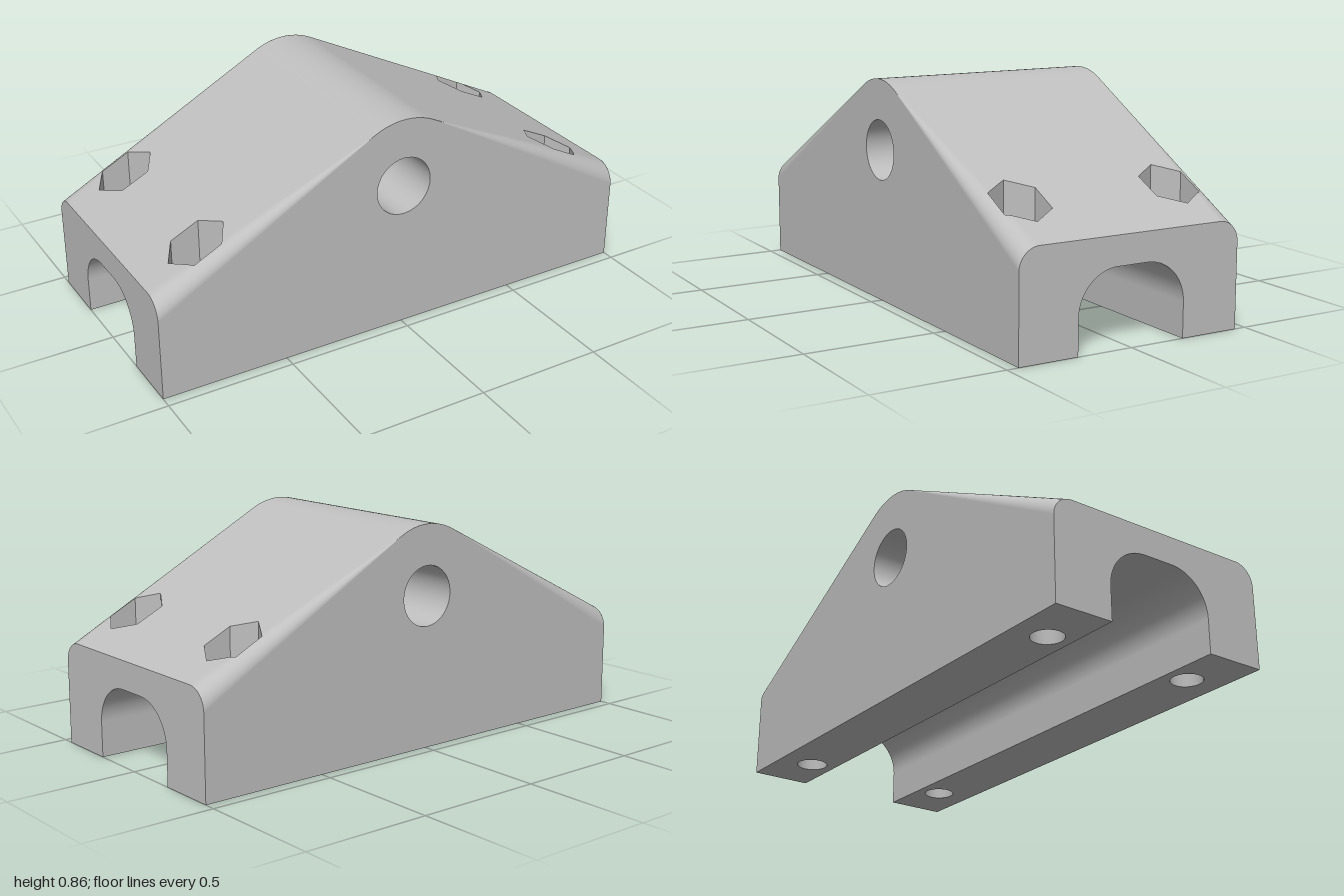
import * as THREE from 'three';

const W = 0.455;                        // half depth
const AXLE_Y = 0.585, CREST_R = 0.27;   // rounded crest is concentric with the axle hole
const SLOPE = Math.atan(0.483);
const TX = CREST_R * Math.sin(SLOPE), TY = AXLE_Y + CREST_R * Math.cos(SLOPE); // crest meets slope
const END_Y = TY - (1 - TX) * Math.tan(SLOPE);
const R = 0.08;                         // edge rounding at the ends, fading to nothing at the crest
const BX = 0.78, BZ = 0.315, BOLT_R = 0.06, HEX_R = 0.11, FLOOR_Y = 0.3;

const radius = (x) => R * (x - TX) / (1 - TX);
const flatEdge = (x) => W - radius(x);
const endZ = (t) => W - R + R * Math.sin(t);

// Angle round the tapered edge at a point of the top surface
function edgeAngle(x, z, fallback) {
  const r = radius(x);
  if (r < 1e-6) return fallback;
  return Math.asin(THREE.MathUtils.clamp((z - flatEdge(x)) / r, 0, 1));
}
const topY = (x, z) => TY - (x - TX) * Math.tan(SLOPE) - radius(x) * (1 - Math.cos(edgeAngle(x, z, 0)));

function topNormal(t) {
  const ruling = new THREE.Vector3(1 - TX, END_Y - R * (1 - Math.cos(t)) - TY, endZ(t) - W);
  const around = new THREE.Vector3(0, -Math.sin(t), Math.cos(t));
  return around.cross(ruling).normalize();
}

function makeGeometry(pos, normal) {
  const g = new THREE.BufferGeometry();
  g.setAttribute('position', new THREE.Float32BufferAttribute(pos, 3));
  if (normal) g.setAttribute('normal', new THREE.Float32BufferAttribute(normal, 3));
  return g;
}

// Polygon in plan [x, z] laid onto the top surface
function topPatch(points, fallback) {
  const pos = [], nor = [];
  const flat = points.map(([x, z]) => new THREE.Vector2(x, z));
  for (const tri of THREE.ShapeUtils.triangulateShape(flat, [])) {
    const [a, b, c] = tri.map((i) => flat[i]);
    const area = (b.x - a.x) * (c.y - a.y) - (b.y - a.y) * (c.x - a.x);
    for (const p of area < 0 ? [a, b, c] : [a, c, b]) {
      pos.push(p.x, topY(p.x, p.y), p.y);
      nor.push(...topNormal(edgeAngle(p.x, p.y, fallback)));
    }
  }
  return makeGeometry(pos, nor);
}

// Surface between two matching rows of points
function ruled(a, b, flat = false) {
  const n = a.length, index = [];
  for (let i = 0; i < n - 1; i++) index.push(i, i + 1, n + i + 1, i, n + i + 1, n + i);
  let g = makeGeometry([...a, ...b].flat());
  g.setIndex(index);
  if (flat) g = g.toNonIndexed();
  g.computeVertexNormals();
  return g;
}

// Mirrored copy with the corner order kept facing outward
function mirrored(geometry, sx, sz) {
  const g = geometry.index ? geometry.toNonIndexed() : geometry.clone();
  g.scale(sx, 1, sz);
  if (sx * sz < 0) {
    for (const attr of Object.values(g.attributes)) {
      const s = attr.itemSize, arr = attr.array;
      for (let i = 0; i < arr.length; i += 3 * s)
        for (let k = 0; k < s; k++)
          [arr[i + s + k], arr[i + 2 * s + k]] = [arr[i + 2 * s + k], arr[i + s + k]];
    }
  }
  return g;
}

const circleHole = (x, y, r) => new THREE.Path().absarc(x, y, r, 0, Math.PI * 2, true);

// Where a pocket side crosses the start of the rounded edge
function crossing(a, b) {
  const da = a[1] - flatEdge(a[0]), db = b[1] - flatEdge(b[0]), t = da / (da - db);
  return [a[0] + (b[0] - a[0]) * t, a[1] + (b[1] - a[1]) * t];
}

export function createModel() {
  const model = new THREE.Group();
  const grey = new THREE.MeshStandardMaterial({ color: 0xbfbfbf, side: THREE.DoubleSide });
  grey.name = 'grey';
  const add = (name, geometry) => {
    const mesh = new THREE.Mesh(geometry, grey);
    mesh.name = name;
    model.add(mesh);
  };

  // Front and back faces with the axle hole
  const face = new THREE.Shape();
  face.moveTo(-1, 0).lineTo(1, 0).lineTo(1, END_Y - R).lineTo(TX, TY);
  face.absarc(0, AXLE_Y, CREST_R, Math.PI / 2 - SLOPE, Math.PI / 2 + SLOPE, false);
  face.lineTo(-1, END_Y - R);
  face.holes.push(circleHole(0, AXLE_Y, 0.115));
  const faceGeo = new THREE.ShapeGeometry(face, 24);
  add('frontFace', faceGeo.clone().translate(0, 0, W));
  add('backFace', faceGeo.clone().rotateY(Math.PI).translate(0, 0, -W));
  add('axleHole', new THREE.CylinderGeometry(0.115, 0.115, 2 * W, 48, 1, true)
    .rotateX(Math.PI / 2).translate(0, AXLE_Y, 0));

  // Arched channel running lengthwise underneath
  const CW = 0.22, CH = 0.293, CR = 0.16, arch = [[CW, 0]];
  for (let i = 0; i <= 32; i++) {
    const t = Math.PI * i / 32, side = i < 16 ? 1 : -1;
    const p = (s) => [s * (CW - CR) + CR * Math.cos(t), CH - CR + CR * Math.sin(t)];
    if (i === 16) arch.push(p(1));
    arch.push(p(side));
  }
  arch.push([-CW, 0]);
  add('channel', ruled(arch.map(([z, y]) => [-1, y, z]), arch.map(([z, y]) => [1, y, z])));

  // End faces, notched by the channel
  const end = new THREE.Shape();
  end.moveTo(W, 0).lineTo(W, END_Y - R);
  end.absarc(W - R, END_Y - R, R, 0, Math.PI / 2, false);
  end.absarc(-W + R, END_Y - R, R, Math.PI / 2, Math.PI, false);
  end.lineTo(-W, 0);
  [...arch].reverse().forEach(([z, y]) => end.lineTo(z, y));
  const endGeo = new THREE.ShapeGeometry(end, 16);
  add('leftEnd', endGeo.clone().rotateY(Math.PI / 2).translate(1, 0, 0));
  add('rightEnd', endGeo.clone().rotateY(-Math.PI / 2).translate(-1, 0, 0));

  // Rounded crest
  const crest = [];
  for (let i = 0; i <= 20; i++) {
    const t = SLOPE * (i / 10 - 1);
    crest.push([CREST_R * Math.sin(t), AXLE_Y + CREST_R * Math.cos(t)]);
  }
  add('crest', ruled(crest.map(([x, y]) => [x, y, W]), crest.map(([x, y]) => [x, y, -W])));

  // Hexagonal pocket outline in plan, plus where it cuts into the rounded edge
  const hex = [0, 1, 2, 3, 4, 5].map((i) => {
    const t = -i * Math.PI / 3;
    return [BX + HEX_R * Math.cos(t), BZ + HEX_R * Math.sin(t)];
  });
  const p1 = crossing(hex[0], hex[5]), p2 = crossing(hex[3], hex[4]);

  // One quarter of the sloped top: flat, rounded edge, pocket and bolt hole
  const quarter = {};
  quarter.slope = topPatch([[TX, 0], [1, 0], [1, W - R], p1,
    hex[0], hex[1], hex[2], hex[3], p2, [TX, W]], 0);
  const steps = 8, first = Math.PI / 8;
  quarter.edgeStart = topPatch([[1, W - R], [1, endZ(first)], [TX, W],
    p2, hex[4], hex[5], p1], first / 2);
  for (let i = 0; i < steps; i++) {
    const t0 = first + (Math.PI / 2 - first) * i / steps;
    const t1 = first + (Math.PI / 2 - first) * (i + 1) / steps;
    quarter['roundedEdge' + (i + 1)] =
      topPatch([[1, endZ(t0)], [1, endZ(t1)], [TX, W]], (t0 + t1) / 2);
  }
  const rim = [hex[0], hex[1], hex[2], hex[3], p2, hex[4], hex[5], p1, hex[0]];
  quarter.nutPocketWall = ruled(rim.map(([x, z]) => [x, topY(x, z), z]),
    rim.map(([x, z]) => [x, FLOOR_Y, z]), true);
  const floor = new THREE.Shape(hex.map(([x, z]) => new THREE.Vector2(x - BX, z - BZ)));
  floor.holes.push(circleHole(0, 0, BOLT_R));
  quarter.nutPocketFloor = new THREE.ShapeGeometry(floor, 24)
    .rotateX(-Math.PI / 2).translate(BX, FLOOR_Y, BZ);
  quarter.boltHole = new THREE.CylinderGeometry(BOLT_R, BOLT_R, FLOOR_Y, 32, 1, true)
    .translate(BX, FLOOR_Y / 2, BZ);

  // Underside of the foot
  const foot = new THREE.Shape();
  foot.moveTo(0, CW).lineTo(1, CW).lineTo(1, W).lineTo(0, W);
  foot.holes.push(circleHole(BX, BZ, BOLT_R));
  quarter.footBottom = new THREE.ShapeGeometry(foot, 24).rotateX(Math.PI / 2);

  for (const sx of [1, -1])
    for (const sz of [1, -1])
      for (const [name, g] of Object.entries(quarter))
        add(`${sz > 0 ? 'front' : 'back'} ${sx > 0 ? 'left' : 'right'} ${name}`, mirrored(g, sx, sz));

  return model;
}
